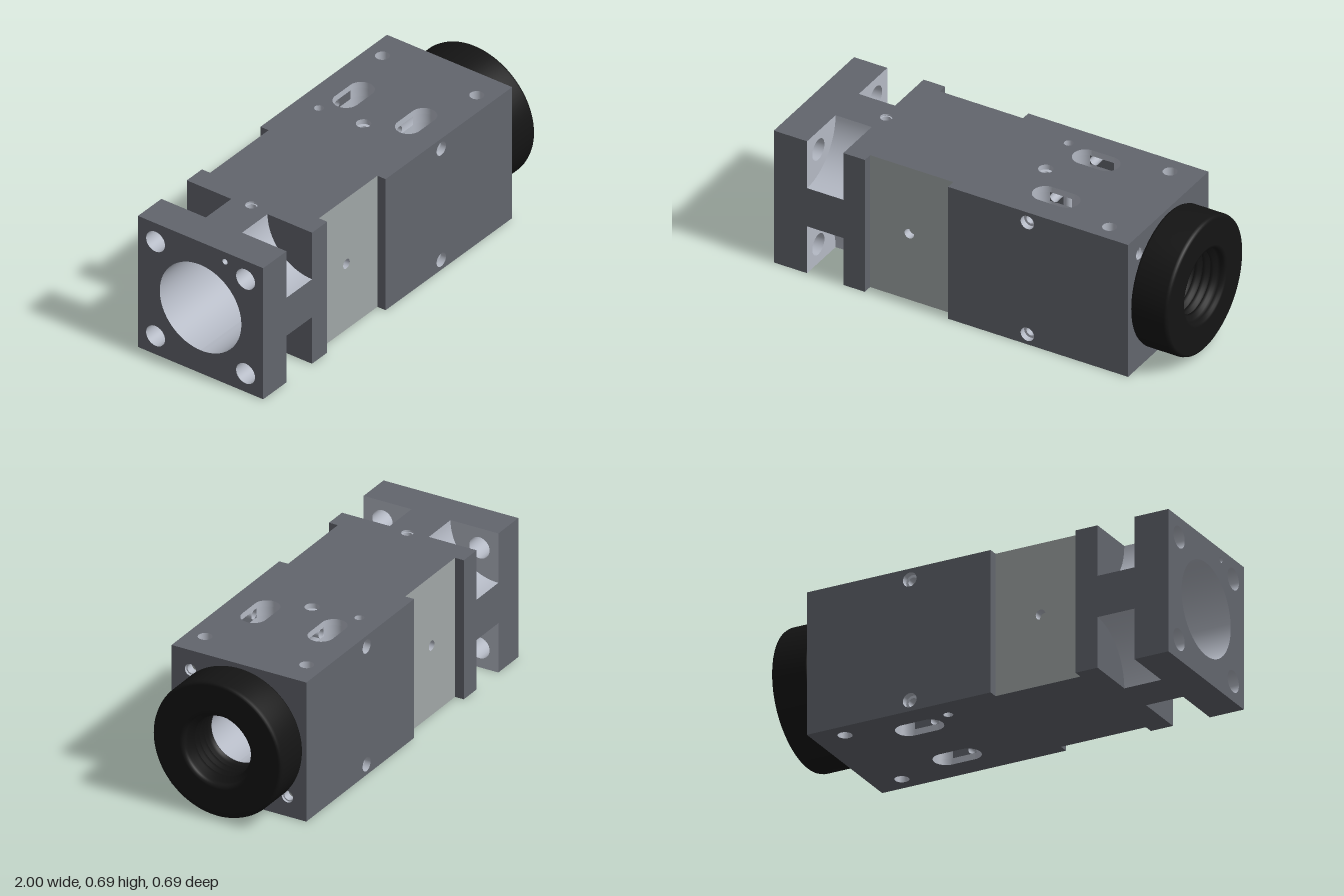
import * as THREE from 'three';

const H = 0.345;                 // half height and half depth of the body
const paint = (color) => new THREE.MeshStandardMaterial({ color, side: THREE.DoubleSide });
const BODY = paint(0x62656d), BARE = paint(0xa0a6a6), CUT = paint(0xb4b9c4), BLACK = paint(0x141414);

const vec = (pts) => pts.map(([x, y]) => new THREE.Vector2(x, y));

function add(parent, name, geometry, material) {
  const mesh = new THREE.Mesh(geometry, material);
  mesh.name = name;
  parent.add(mesh);
  return mesh;
}

// Points round a circle, or round a slot when half > 0
function loop({ u, v, r, half = 0 }) {
  const pts = [], n = 32;
  for (let i = 0; i <= n; i++) {
    const a = -Math.PI / 2 + (i / n) * Math.PI;
    pts.push([u + half + Math.cos(a) * r, v + Math.sin(a) * r]);
  }
  const other = pts.map(([x, y]) => [2 * u - x, 2 * v - y]);
  return [...pts, ...other, pts[0]];
}

// Wall swept inwards along -z from depth d0 to depth d1
function wall(pts, d0, d1, keep = () => true) {
  const pos = [], index = [];
  pts.forEach(([x, y], i) => {
    pos.push(x, y, -d0, x, y, -d1);
    const next = pts[i + 1];
    if (next && keep(x) && keep(next[0])) {
      const k = i * 2;
      index.push(k, k + 1, k + 2, k + 2, k + 1, k + 3);
    }
  });
  const g = new THREE.BufferGeometry();
  g.setAttribute('position', new THREE.Float32BufferAttribute(pos, 3));
  g.setIndex(index);
  g.computeVertexNormals();
  return g;
}

// Flat panel with holes, facing +z
function panel(outline, holes = []) {
  const shape = new THREE.Shape(vec(outline));
  holes.forEach((h) => shape.holes.push(new THREE.Path(vec(loop(h)))));
  return new THREE.ShapeGeometry(shape, 24);
}

// Lined hole: optional counterbore step and optional floor
function drill(parent, name, h) {
  const start = h.sink || 0, r = h.inner || h.r;
  if (h.inner) {
    add(parent, name + 'Counterbore', wall(loop(h), 0, start), CUT);
    add(parent, name + 'Step', new THREE.RingGeometry(r, h.r, 40), CUT).position.set(h.u, h.v, -start);
  }
  add(parent, name, wall(loop({ ...h, r }), start, h.depth), CUT);
  if (h.floor) add(parent, name + 'Floor', new THREE.CircleGeometry(r, 40), h.floor).position.set(h.u, h.v, -h.depth);
}

const rect = (x0, x1, y0, y1) => [[x0, y0], [x1, y0], [x1, y1], [x0, y1]];

// Half outline along x, reflected in the x axis
const mirrored = (pts) => [...pts, ...[...pts].reverse().map(([x, y]) => [x, -y])];

export function createModel() {
  const model = new THREE.Group();
  model.name = 'cameraBlock';
  const body = new THREE.Group();
  body.name = 'body';
  body.position.y = H;
  model.add(body);

  const side = (name, place) => {
    const g = new THREE.Group();
    g.name = name;
    place(g);
    body.add(g);
    return g;
  };

  // Top and bottom skins: notched at one end, waisted in the middle
  const deckOutline = mirrored([[-1, H], [-0.83, H], [-0.83, 0.1], [-0.645, 0.1], [-0.645, H],
    [-0.535, H], [-0.535, 0.3], [-0.11, 0.3], [-0.11, H], [0.81, H]]);
  for (const s of [1, -1]) {
    const deck = side(s > 0 ? 'top' : 'bottom', (g) => {
      g.rotation.x = -s * Math.PI / 2;
      g.position.y = s * H;
    });
    const slots = [1, -1].map((k) => ({ u: 0.34, v: 0.172 * k, r: 0.06, half: 0.055 }));
    const pins = [1, -1].map((k) => ({ u: 0.665, v: 0.26 * k, r: 0.033, depth: 0.14, floor: BLACK }));
    const through = { u: 0.165, v: 0.23 * s, r: 0.022, depth: H };
    const blind = s > 0 ? [
      { u: -0.63, v: 0, r: 0.028, inner: 0.022, sink: 0.01, depth: 0.05, floor: BARE },
      { u: 0.185, v: 0, r: 0.034, inner: 0.016, sink: 0.025, depth: 0.08, floor: BARE }] : [];
    const holes = [...pins, through, ...blind];
    add(deck, 'deckPanel', panel(deckOutline, [...holes, ...slots]), BODY);
    holes.forEach((h) => drill(deck, 'deckHole', h));
    // Slot linings leave a gap where the cross drilling passes
    slots.forEach((slot) => {
      const pts = loop(slot);
      add(deck, 'slotRim', wall(pts, 0, 0.03), CUT);
      add(deck, 'slotCrossing', wall(pts, 0.03, 0.075, (x) => x < 0.275 || x > 0.315), CUT);
      add(deck, 'slotWall', wall(pts, 0.075, 0.265), CUT);
    });
  }

  // Front and back skins with recessed pale panel
  for (const s of [1, -1]) {
    const flank = side(s > 0 ? 'front' : 'back', (g) => {
      g.scale.z = s;
      g.position.z = s * H;
    });
    const holes = [1, -1].map((k) => ({ u: 0.295, v: 0.2925 * k, r: 0.034, inner: 0.022, sink: 0.03, depth: 0.113 }));
    add(flank, 'mainPanel', panel(rect(-0.11, 0.81, -H, H), holes), BODY);
    holes.forEach((h) => {
      drill(flank, 'crossHole', h);
      add(flank, 'crossHoleInner', wall(loop({ ...h, r: 0.022 }), 0.233, H), CUT);
    });
    add(flank, 'flangePanel', panel(mirrored([[-1, H], [-0.83, H], [-0.83, 0.1], [-0.645, 0.1], [-0.645, H], [-0.535, H]])), BODY);
    const dimple = { u: -0.335, v: 0, r: 0.024, depth: 0.04, floor: BARE };
    const recess = add(flank, 'recessPanel', panel(rect(-0.535, -0.11, -H, H), [dimple]), BARE);
    recess.position.z = -0.045;
    drill(recess, 'recessHole', dimple);
    for (const x of [-0.535, -0.11]) add(flank, 'recessStep', wall([[x, -H], [x, H]], 0, 0.045), BODY);
  }

  // Open end: large bore, four bolt holes and a pin hole
  const square = rect(-H, H, -H, H);
  const corners = [[1, 1], [1, -1], [-1, 1], [-1, -1]];
  const openEnd = side('openEnd', (g) => {
    g.rotation.y = -Math.PI / 2;
    g.position.x = -1;
  });
  const bolts = corners.map(([a, b]) => ({ u: 0.248 * a, v: 0.248 * b, r: 0.052, depth: 0.17 }));
  const pin = { u: 0.135, v: 0.295, r: 0.014, depth: 0.06, floor: BARE };
  const bore = { u: 0, v: 0, r: 0.225, inner: 0.14, sink: 0.89, depth: 1.22 };
  add(openEnd, 'endPanel', panel(square, [...bolts, pin, bore]), BODY);
  bolts.forEach((h) => drill(openEnd, 'boltHole', h));
  drill(openEnd, 'pinHole', pin);
  drill(openEnd, 'bore', bore);

  // Scooped corner notches giving access to the bolts
  const R = 0.245;
  for (const [a, b] of corners) {
    const arc = [];
    for (let i = 0; i <= 20; i++) {
      const t = (i / 20) * Math.PI / 2;
      arc.push([a * (H - R * Math.cos(t)), b * (H - R * Math.sin(t))]);
    }
    const sector = [...arc, [a * H, b * H]];
    add(openEnd, 'notchScoop', wall(arc, 0.17, 0.355), CUT);
    const bolt = { u: 0.248 * a, v: 0.248 * b, r: 0.052 };
    add(openEnd, 'notchOuterWall', panel(sector, [bolt]), CUT).position.z = -0.17;
    add(openEnd, 'notchInnerWall', panel(sector), BODY).position.z = -0.355;
  }

  // Ring end: narrow bore and two diagonal blind holes
  const ringEnd = side('ringEnd', (g) => {
    g.rotation.y = Math.PI / 2;
    g.position.x = 0.81;
  });
  const locators = [1, -1].map((k) => ({ u: -0.248 * k, v: 0.247 * k, r: 0.029, inner: 0.023, sink: 0.012, depth: 0.05, floor: BARE }));
  const outlet = { u: 0, v: 0, r: 0.14, depth: 0.355 };
  add(ringEnd, 'endPanel', panel(square, [...locators, outlet]), BODY);
  locators.forEach((h) => drill(ringEnd, 'locatorHole', h));
  drill(ringEnd, 'outlet', outlet);

  // Black ring with rounded rims and grooved inside
  const profile = [[0.142, 0], [0.315, 0], [0.325, 0.004], [0.33, 0.015], [0.33, 0.172], [0.326, 0.184], [0.315, 0.19],
    [0.19, 0.19], [0.179, 0.187], [0.173, 0.178]];
  for (let i = 0; i < 4; i++) {
    const y = 0.165 - i * 0.04;
    profile.push([0.172, y], [0.172, y - 0.016], [0.148, y - 0.02], [0.148, y - 0.036]);
  }
  profile.push([0.142, 0]);
  const ring = add(model, 'mountRing', new THREE.LatheGeometry(vec(profile), 96), BLACK);
  ring.rotation.z = -Math.PI / 2;
  ring.position.set(0.81, H, 0);

  return model;
}
